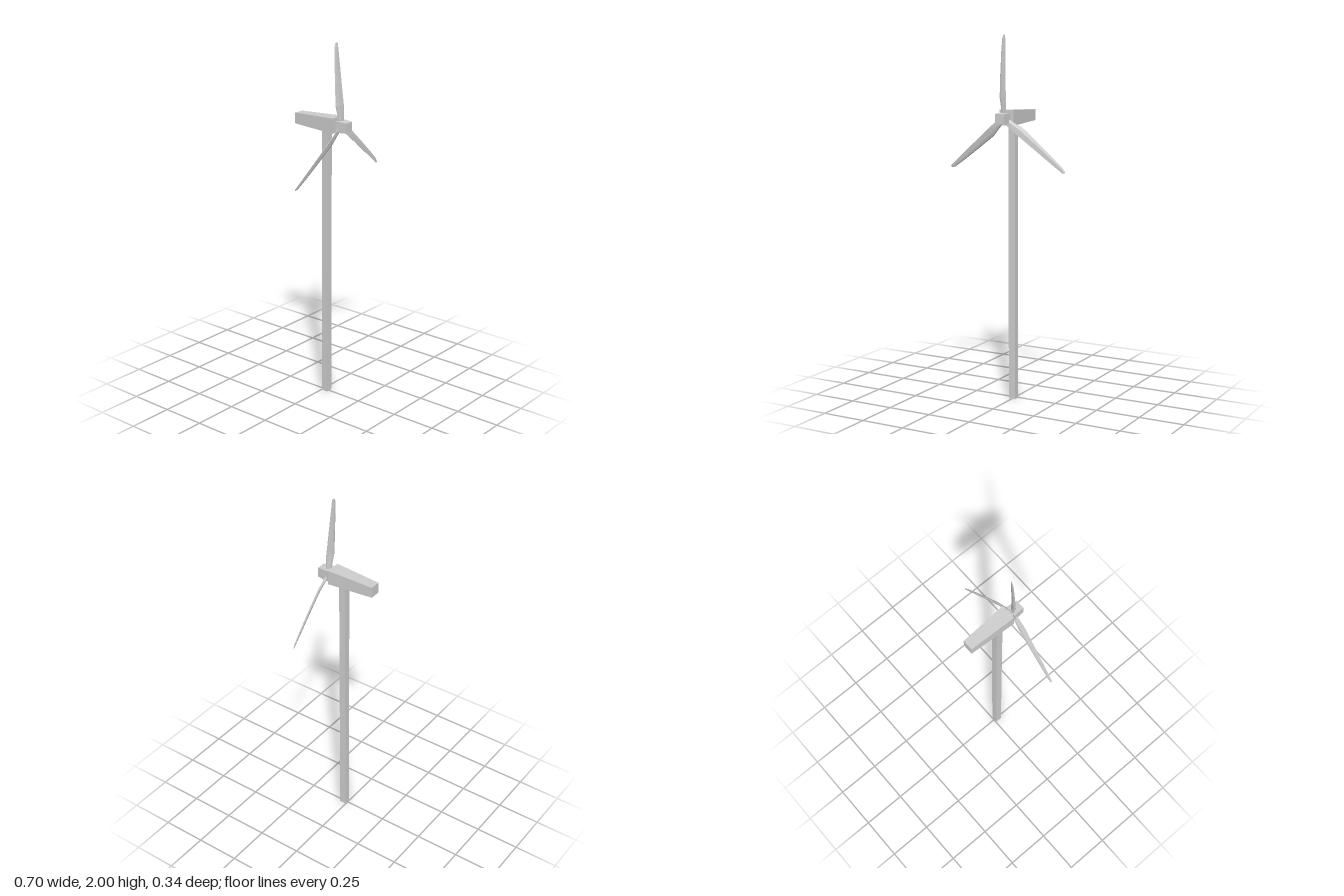
import * as THREE from 'three';

const material = new THREE.MeshStandardMaterial({ color: 0xcccccc, flatShading: true });

function addMesh(parent, name, geometry) {
  const mesh = new THREE.Mesh(geometry, material);
  mesh.name = name;
  parent.add(mesh);
  return mesh;
}

// Box along z whose half width and height differ at its two ends
function taperedBox(z0, [w0, h0], z1, [w1, h1]) {
  const geometry = new THREE.BoxGeometry(2, 2, 1);
  const p = geometry.attributes.position;
  for (let i = 0; i < p.count; i++) {
    const front = p.getZ(i) > 0;
    p.setXYZ(i, p.getX(i) * (front ? w1 : w0), p.getY(i) * (front ? h1 : h0), front ? z1 : z0);
  }
  geometry.computeVertexNormals();
  return geometry;
}

// Blade stations: radius, leading x, trailing x, leading z, trailing z, thickness
const stations = [
  [0.02, -0.017, 0.016, 0.115, 0.126, 0.014],
  [0.055, -0.021, 0.015, 0.113, 0.127, 0.014],
  [0.11, -0.034, 0.013, 0.109, 0.127, 0.013],
  [0.23, -0.033, 0.006, 0.104, 0.117, 0.010],
  [0.35, -0.030, 0.000, 0.098, 0.107, 0.008],
  [0.42, -0.026, -0.004, 0.094, 0.101, 0.006],
  [0.44, -0.019, -0.006, 0.094, 0.099, 0.004],
];
// Airfoil section: position along the chord, offset across it
const section = [[0, 0], [0.12, 0.4], [0.4, 0.5], [1, 0.08], [1, -0.08], [0.4, -0.5], [0.12, -0.4]];

function bladeGeometry() {
  const n = section.length, positions = [], index = [];
  for (const [r, xl, xt, zl, zt, t] of stations) {
    const length = Math.hypot(xt - xl, zt - zl);
    const nx = -(zt - zl) / length, nz = (xt - xl) / length;
    for (const [u, v] of section) {
      positions.push(xl + (xt - xl) * u + nx * v * t, r, zl + (zt - zl) * u + nz * v * t);
    }
  }
  for (let s = 0; s < stations.length - 1; s++) {
    for (let i = 0; i < n; i++) {
      const a = s * n + i, b = s * n + (i + 1) % n;
      index.push(a, b, b + n, a, b + n, a + n);
    }
  }
  const top = (stations.length - 1) * n;
  for (let i = 1; i < n - 1; i++) {
    index.push(top, top + i, top + i + 1, 0, i + 1, i);
  }
  const geometry = new THREE.BufferGeometry();
  geometry.setAttribute('position', new THREE.Float32BufferAttribute(positions, 3));
  geometry.setIndex(index);
  geometry.computeVertexNormals();
  return geometry;
}

export function createModel() {
  const model = new THREE.Group();
  model.name = 'windTurbine';

  // Square tower
  const tower = addMesh(model, 'tower', new THREE.BoxGeometry(0.038, 1.526, 0.038));
  tower.position.set(0, 0.763, 0.022);

  // Nacelle, narrowing to the back
  const nacelle = addMesh(model, 'nacelle', taperedBox(-0.173, [0.03, 0.03], 0.096, [0.043, 0.041]));
  nacelle.position.y = 1.564;

  // Rotor: shaft, hub and three blades
  const rotor = new THREE.Group();
  rotor.name = 'rotor';
  rotor.position.set(-0.001, 1.56, 0);
  model.add(rotor);
  addMesh(rotor, 'shaft', taperedBox(0.09, [0.021, 0.021], 0.115, [0.021, 0.021]));
  addMesh(rotor, 'hub', taperedBox(0.109, [0.032, 0.031], 0.172, [0.027, 0.027]));
  const blade = bladeGeometry();
  for (const degrees of [0, 127, -130]) {
    addMesh(rotor, 'blade', blade).rotation.z = THREE.MathUtils.degToRad(degrees);
  }
  return model;
}
